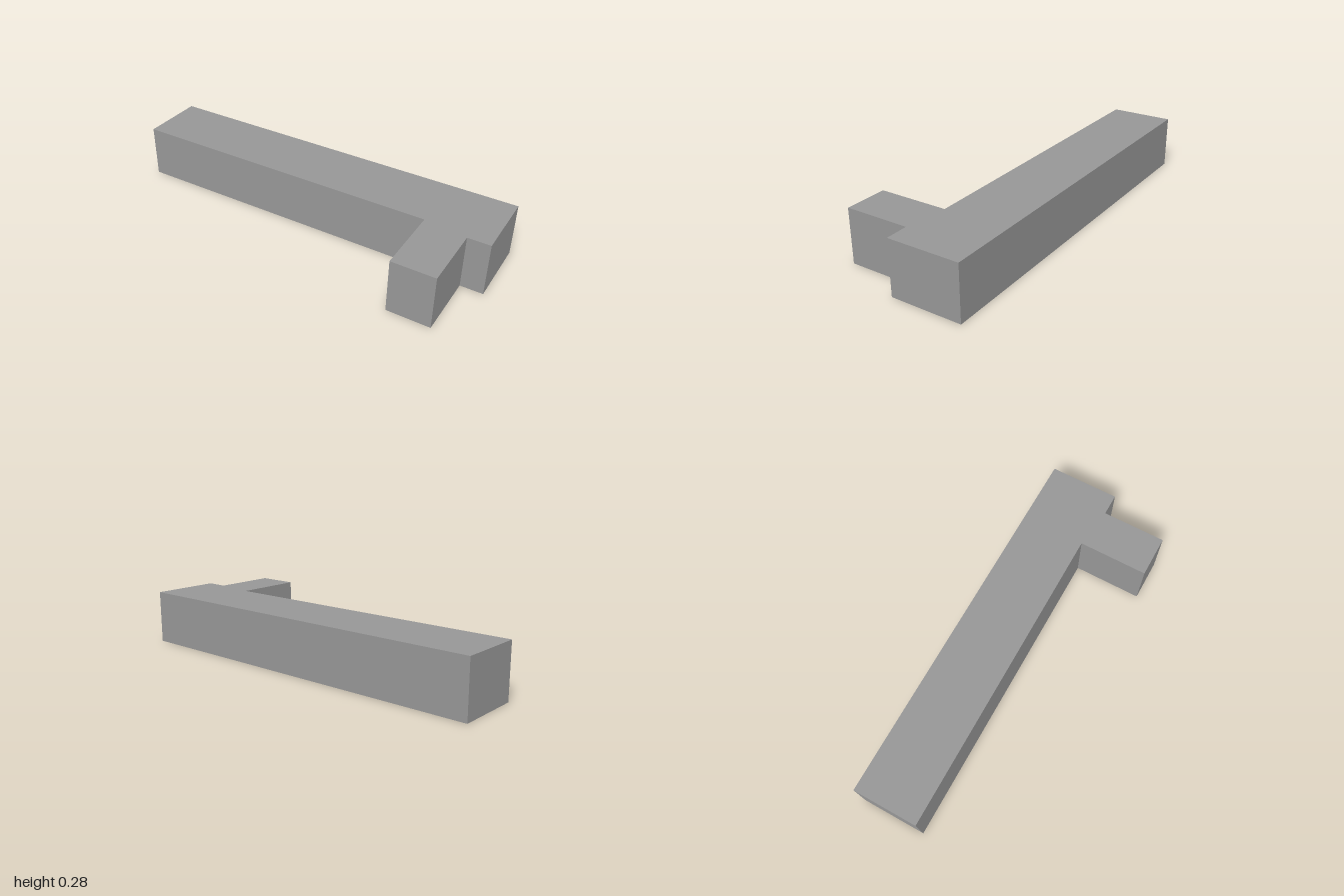
import * as THREE from 'three';

const HEIGHT = 0.282;

// Footprint corners as [x, z], walked around the outline
const FOOTPRINT = [
  [-1, -0.013], [0.662, -0.013],                 // long front wall
  [0.662, 0.352], [0.884, 0.352],                // projecting wing
  [0.884, 0.015], [1, 0.015],                    // short step beside the wing
  [1, -0.352], [-1, -0.352],                     // end wall and back wall
];

export function createModel() {
  const group = new THREE.Group();
  group.name = 'building';

  // Flat-roofed block raised from the footprint (shape y becomes -z)
  const outline = new THREE.Shape(FOOTPRINT.map(([x, z]) => new THREE.Vector2(x, -z)));
  const geometry = new THREE.ExtrudeGeometry(outline, { depth: HEIGHT, bevelEnabled: false });
  geometry.rotateX(-Math.PI / 2);

  const block = new THREE.Mesh(
    geometry,
    new THREE.MeshStandardMaterial({ color: 0x969696, flatShading: true })
  );
  block.name = 'buildingBlock';
  group.add(block);
  return group;
}
